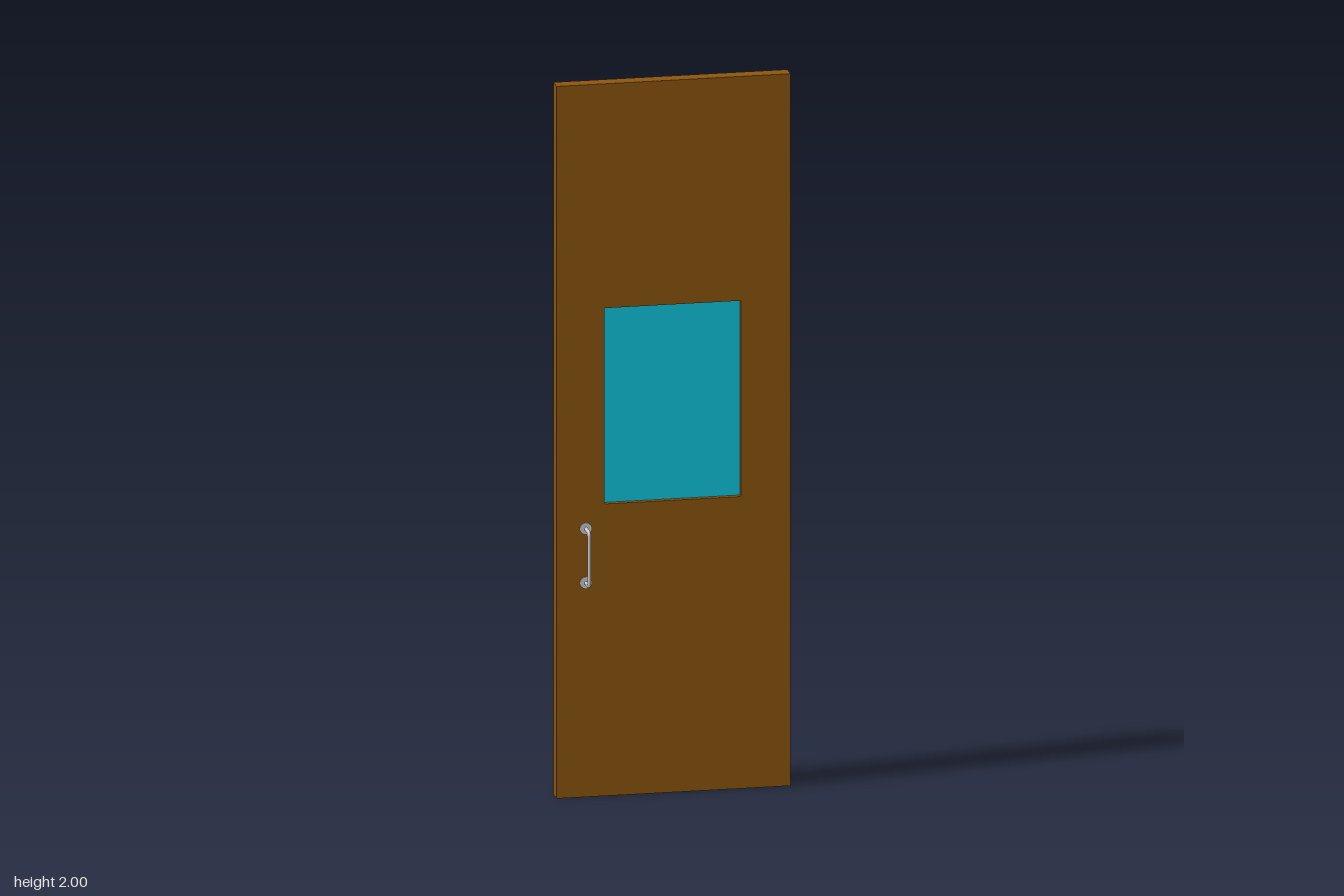
import * as THREE from 'three';

const WIDTH = 0.645, HEIGHT = 2, DEPTH = 0.043;
const WINDOW = { x0: -0.19, x1: 0.186, y0: 0.82, y1: 1.37 };
const HANDLE = { x: -0.242, low: 0.602, high: 0.754, reach: 0.0665, radius: 0.005, bend: 0.01 };

const wood = new THREE.MeshStandardMaterial({ color: 0x8b550e });
const glass = new THREE.MeshStandardMaterial({ color: 0x10c6e0 });
const metal = new THREE.MeshStandardMaterial({ color: 0xcccccc });

function addMesh(parent, name, geometry, material) {
  const mesh = new THREE.Mesh(geometry, material);
  mesh.name = name;
  parent.add(mesh);
  return mesh;
}

function rectangle(path, x0, y0, x1, y1) {
  return path.moveTo(x0, y0).lineTo(x1, y0).lineTo(x1, y1).lineTo(x0, y1).closePath();
}

// Bent pull bar with a round mounting plate at each end, facing +z
function createHandle(name) {
  const { x, low, high, reach, radius, bend } = HANDLE;
  const handle = new THREE.Group();
  handle.name = name;
  const v = (y, z) => new THREE.Vector3(x, y, z);
  const path = new THREE.CurvePath();
  path.add(new THREE.LineCurve3(v(low, DEPTH / 2), v(low, reach - bend)));
  path.add(new THREE.QuadraticBezierCurve3(v(low, reach - bend), v(low, reach), v(low + bend, reach)));
  path.add(new THREE.LineCurve3(v(low + bend, reach), v(high - bend, reach)));
  path.add(new THREE.QuadraticBezierCurve3(v(high - bend, reach), v(high, reach), v(high, reach - bend)));
  path.add(new THREE.LineCurve3(v(high, reach - bend), v(high, DEPTH / 2)));
  addMesh(handle, 'handleBar', new THREE.TubeGeometry(path, 80, radius, 16), metal);

  for (const y of [low, high]) {
    const plate = addMesh(handle, 'handlePlate', new THREE.CylinderGeometry(0.0165, 0.0165, 0.004, 32), metal);
    plate.rotation.x = Math.PI / 2;
    plate.position.set(x, y, DEPTH / 2 + 0.002);
  }
  return handle;
}

export function createModel() {
  const door = new THREE.Group();
  door.name = 'door';

  // Door panel with the window cut through it
  const outline = rectangle(new THREE.Shape(), -WIDTH / 2, 0, WIDTH / 2, HEIGHT);
  outline.holes.push(rectangle(new THREE.Path(), WINDOW.x0, WINDOW.y0, WINDOW.x1, WINDOW.y1));
  const panel = new THREE.ExtrudeGeometry(outline, { depth: DEPTH, bevelEnabled: false });
  panel.translate(0, 0, -DEPTH / 2);
  addMesh(door, 'doorPanel', panel, wood);

  // Recessed window pane
  const pane = addMesh(door, 'windowPane',
    new THREE.BoxGeometry(WINDOW.x1 - WINDOW.x0, WINDOW.y1 - WINDOW.y0, 0.012), glass);
  pane.position.set((WINDOW.x0 + WINDOW.x1) / 2, (WINDOW.y0 + WINDOW.y1) / 2, 0);

  // Matching handles on both faces; the half turn keeps the same edge of the door
  const front = createHandle('frontHandle');
  const back = createHandle('backHandle');
  back.rotation.y = Math.PI;
  back.position.x = 2 * HANDLE.x;
  door.add(front, back);

  return door;
}
